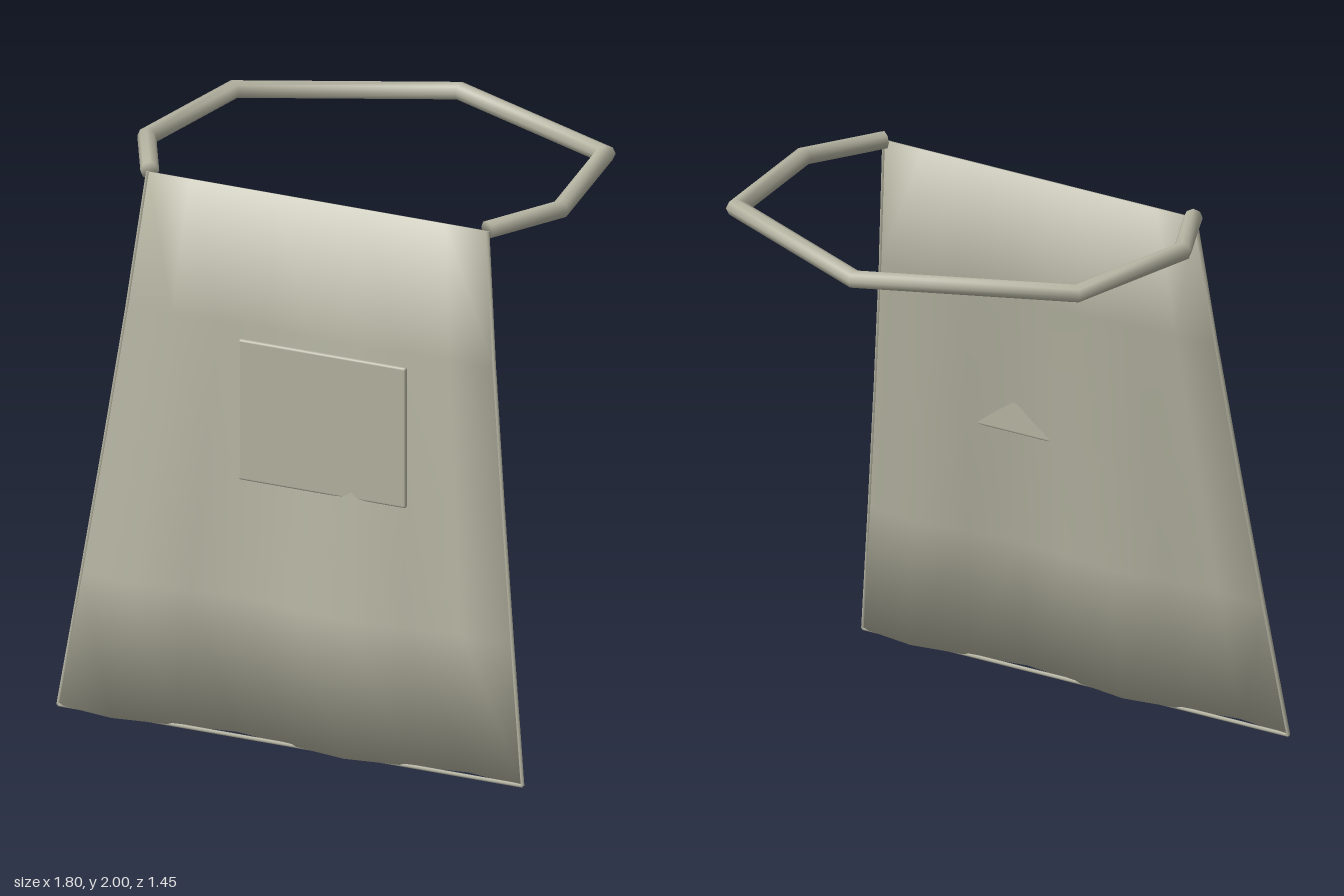
import * as THREE from 'three';
import { RoundedBoxGeometry } from 'three/addons/geometries/RoundedBoxGeometry.js';

const COLS = 8, ROWS = 4, TOP = 1.965, HEM = 0.008;

// Point on the cloth: u runs across (-1..1), t runs down (0..1)
function clothPoint(u, t, wave = 1) {
  const half = 0.655 + 0.24 * Math.pow(t, 1.1);
  const ripple = wave * 0.035 * t * Math.sin((u + 1) * Math.PI * 2);
  return new THREE.Vector3(u * half, TOP + (HEM - TOP) * t, 0.46 + 0.223 * t + ripple);
}

// Thin two-layer sheet whose normals roll over at the rim
function clothGeometry() {
  const pos = [], nor = [], idx = [];
  const stride = COLS + 1, layer = stride * (ROWS + 1);
  for (const side of [1, -1]) {
    for (let r = 0; r <= ROWS; r++) {
      for (let c = 0; c <= COLS; c++) {
        const u = (c / COLS) * 2 - 1, t = r / ROWS, e = 0.01;
        const p = clothPoint(u, t);
        const across = clothPoint(u + e, t).sub(clothPoint(u - e, t));
        const up = clothPoint(u, t - e < 0 ? 0 : t - e).sub(clothPoint(u, t + e));
        const n = across.cross(up).normalize().multiplyScalar(side);
        p.addScaledVector(n, 0.003);
        if (r === 0) n.y += 0.8;
        if (r === ROWS) n.y -= 1;
        if (c === 0) n.x -= 0.8;
        if (c === COLS) n.x += 0.8;
        n.normalize();
        pos.push(p.x, p.y, p.z);
        nor.push(n.x, n.y, n.z);
      }
    }
  }
  const quad = (a, b, c, d) => idx.push(a, b, c, a, c, d);
  for (let r = 0; r < ROWS; r++) {
    for (let c = 0; c < COLS; c++) {
      const a = r * stride + c, b = a + stride;
      quad(a, b, b + 1, a + 1);
      quad(layer + a, layer + a + 1, layer + b + 1, layer + b);
    }
  }
  // rim joining the two layers
  const rim = (a, b) => quad(a, b, b + layer, a + layer);
  for (let c = 0; c < COLS; c++) {
    rim(c, c + 1);
    rim(ROWS * stride + c + 1, ROWS * stride + c);
  }
  for (let r = 0; r < ROWS; r++) {
    rim((r + 1) * stride, r * stride);
    rim(r * stride + COLS, (r + 1) * stride + COLS);
  }
  const g = new THREE.BufferGeometry();
  g.setAttribute('position', new THREE.Float32BufferAttribute(pos, 3));
  g.setAttribute('normal', new THREE.Float32BufferAttribute(nor, 3));
  g.setIndex(idx);
  return g;
}

// Mitred round tube along a level path of [x, z] points
function strapGeometry(path, y, radius, sides) {
  const pos = [], idx = [];
  const pts = path.map(([x, z]) => new THREE.Vector2(x, z));
  pts.forEach((p, i) => {
    const before = p.clone().sub(pts[Math.max(i - 1, 0)]).normalize();
    const after = pts[Math.min(i + 1, pts.length - 1)].clone().sub(p).normalize();
    const dir = before.clone().add(after).normalize();
    const ref = i === 0 ? after : before;
    const stretch = radius / dir.dot(ref);
    for (let s = 0; s < sides; s++) {
      const a = (s / sides) * Math.PI * 2;
      const w = Math.cos(a) * stretch;
      pos.push(p.x - dir.y * w, y + Math.sin(a) * radius, p.y + dir.x * w);
    }
  });
  for (let i = 0; i < pts.length - 1; i++) {
    for (let s = 0; s < sides; s++) {
      const n = (s + 1) % sides;
      const a = i * sides + s, b = i * sides + n;
      idx.push(a, b, b + sides, a, b + sides, a + sides);
    }
  }
  // end caps
  const last = (pts.length - 1) * sides;
  for (let s = 1; s < sides - 1; s++) {
    idx.push(0, s + 1, s, last, last + s, last + s + 1);
  }
  const g = new THREE.BufferGeometry();
  g.setAttribute('position', new THREE.Float32BufferAttribute(pos, 3));
  g.setIndex(idx);
  g.computeVertexNormals();
  return g;
}

export function createModel() {
  const group = new THREE.Group();
  const fabric = new THREE.MeshStandardMaterial({ color: 0xb5b4a2, side: THREE.DoubleSide });
  fabric.name = 'beige fabric';

  const add = (geometry, name) => {
    const mesh = new THREE.Mesh(geometry, fabric);
    mesh.name = name;
    group.add(mesh);
    return mesh;
  };
  const cord = (a, b, name) => {
    const mesh = add(new THREE.CylinderGeometry(0.007, 0.007, a.distanceTo(b), 6), name);
    mesh.position.copy(a).add(b).multiplyScalar(0.5);
    mesh.quaternion.setFromUnitVectors(new THREE.Vector3(0, 1, 0), b.clone().sub(a).normalize());
  };

  // Rippled panel
  add(clothGeometry(), 'apronPanel');

  // Piping down both sides and straight across the hem
  for (const [u, name] of [[1, 'leftPiping'], [-1, 'rightPiping']]) {
    for (let r = 0; r < ROWS; r++) {
      cord(clothPoint(u, r / ROWS, 0), clothPoint(u, (r + 1) / ROWS, 0), name);
    }
  }
  cord(clothPoint(-1, 1, 0), clothPoint(1, 1, 0), 'hemPiping');

  // Pocket plate, set off centre
  add(new RoundedBoxGeometry(0.645, 0.525, 0.018, 2, 0.008), 'pocket')
    .position.set(0.08, 1.192, 0.587);

  // Neck strap
  const half = [[0.65, 0.455], [0.797, 0.17], [0.715, -0.365]];
  const path = [...half.map(([x, z]) => [-x, z]), [0, -0.688], ...half.reverse()];
  add(strapGeometry(path, 1.967, 0.033, 8), 'neckStrap');

  return group;
}
